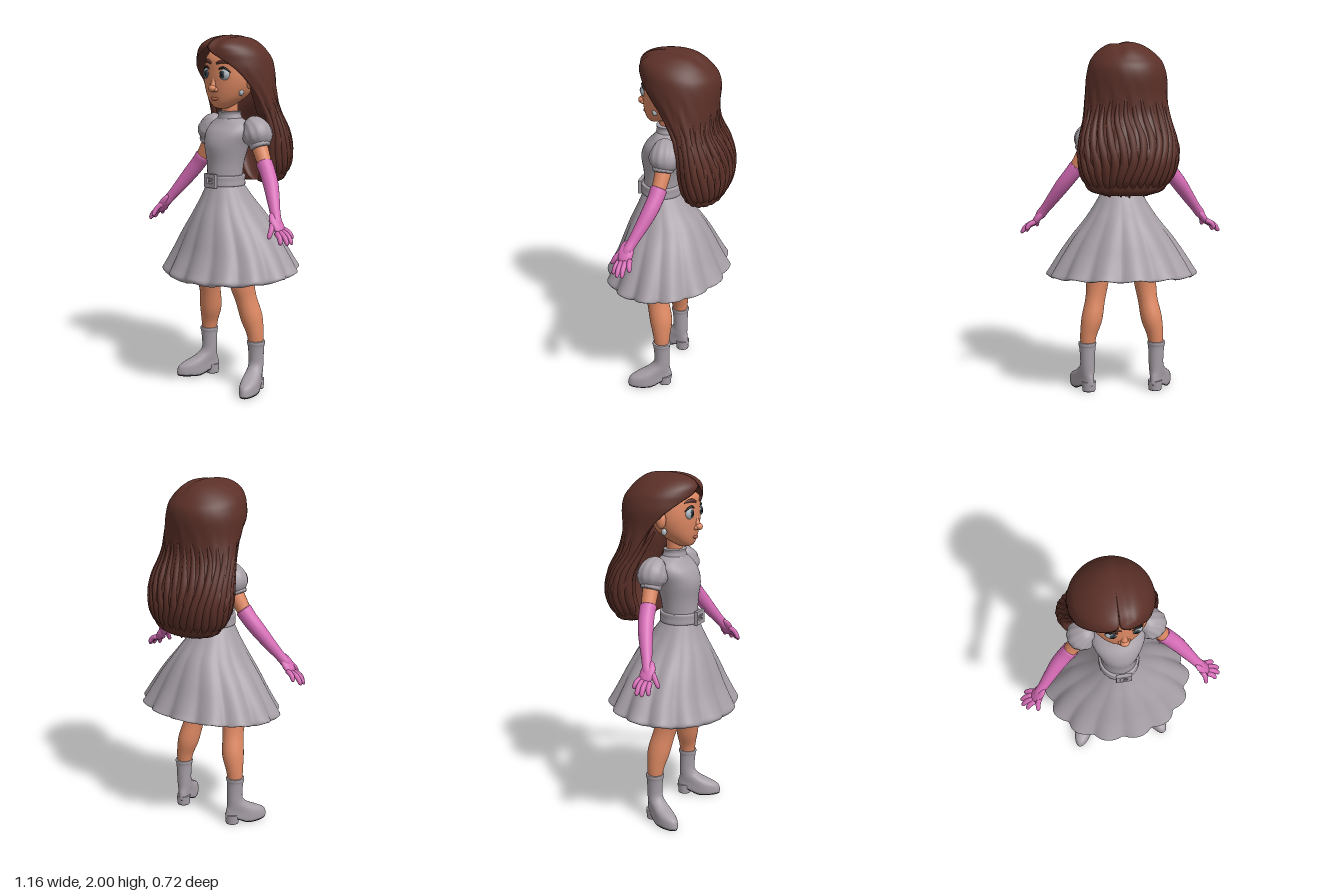
import * as THREE from 'three';

const mat = (name, color, side = THREE.FrontSide) => {
  const m = new THREE.MeshStandardMaterial({ color, side });
  m.name = name;
  return m;
};
const V = (x, y, z) => new THREE.Vector3(x, y, z);

// Catmull-Rom sampling of rows of numbers, t in 0..1
function sample(rows, t) {
  const f = t * (rows.length - 1), i = Math.min(Math.floor(f), rows.length - 2), u = f - i;
  const at = k => rows[Math.max(0, Math.min(rows.length - 1, k))];
  return rows[0].map((_, c) => {
    const [a, b, d, e] = [at(i - 1)[c], at(i)[c], at(i + 1)[c], at(i + 2)[c]];
    return b + 0.5 * u * (d - a + u * (2 * a - 5 * b + 4 * d - e + u * (3 * (b - d) + e - a)));
  });
}

// Closed rings of points joined into a smooth surface
function skin(rings, cap = true) {
  if (cap) {
    const mid = r => { const c = r.reduce((s, p) => s.add(p), V(0, 0, 0)).divideScalar(r.length); return r.map(() => c); };
    rings = [mid(rings[0]), ...rings, mid(rings[rings.length - 1])];
  }
  const n = rings[0].length, idx = [];
  for (let i = 0; i < rings.length - 1; i++) for (let j = 0; j < n; j++) {
    const a = i * n + j, b = i * n + (j + 1) % n;
    idx.push(a, b, b + n, a, b + n, a + n);
  }
  const g = new THREE.BufferGeometry().setFromPoints(rings.flat());
  g.setIndex(idx);
  g.computeVertexNormals();
  return g;
}

// Horizontal ellipses, bottom to top: [y, cx, cz, rx, rz]
function loft(rows, n = 30, seg = 32, mod = p => p, cap = true) {
  return skin(Array.from({ length: n + 1 }, (_, i) => {
    const [y, cx, cz, rx, rz] = sample(rows, i / n);
    return Array.from({ length: seg }, (_, j) => {
      const a = j / seg * Math.PI * 2;
      return mod(V(cx + Math.sin(a) * rx, y, cz + Math.cos(a) * rz), a, i / n);
    });
  }), cap);
}

// Tube of changing radius through [x, y, z, r]; s mirrors it in x
function limb(pts, s = 1, n = 20, seg = 16, gather = () => 1) {
  const curve = new THREE.CatmullRomCurve3(pts.map(p => V(p[0] * s, p[1], p[2])));
  return skin(Array.from({ length: n + 1 }, (_, i) => {
    const t = i / n, c = curve.getPoint(t), T = curve.getTangent(t), r = sample(pts, t)[3];
    const N = V(0, 0, 1).addScaledVector(T, -T.z).normalize(), B = T.clone().cross(N);
    return Array.from({ length: seg }, (_, j) => {
      const a = j / seg * Math.PI * 2, q = r * gather(a, t);
      return c.clone().addScaledVector(N, Math.cos(a) * q).addScaledVector(B, Math.sin(a) * q);
    });
  }));
}

export function createModel() {
  const model = new THREE.Group();
  model.name = 'woman';
  const cloth = mat('grey cloth', 0xa69fa6, THREE.DoubleSide), skinM = mat('skin', 0xde8963);
  const hairM = mat('brown hair', 0x5b3028), pink = mat('pink glove', 0xd66cb6), black = mat('black', 0x1c1a1c);
  const white = mat('eye grey', 0xaeb8be), iris = mat('iris', 0x3a4b54), lipM = mat('lips', 0xb4624a);
  const add = (parent, name, geo, m) => {
    const mesh = new THREE.Mesh(geo, m);
    mesh.name = name;
    parent.add(mesh);
    return mesh;
  };
  const ball = (parent, name, m, p, r) => {
    const b = add(parent, name, new THREE.SphereGeometry(1, 24, 16), m);
    b.position.set(...p);
    b.scale.set(...r);
    return b;
  };

  // Dress: bodice, collar, belt and buckle
  add(model, 'bodice', loft([[1.15, 0, .05, .1, .1], [1.22, 0, .05, .1, .1], [1.3, 0, .045, .106, .107], [1.39, 0, .035, .125, .128],
    [1.46, 0, .015, .145, .125], [1.51, 0, .01, .125, .085], [1.54, 0, .012, .075, .062]]), cloth);
  add(model, 'collar', loft([[1.52, 0, .012, .073, .064], [1.535, 0, .012, .075, .066], [1.56, 0, .015, .068, .06], [1.575, 0, .015, .07, .062], [1.578, 0, .015, .06, .052]]), cloth);
  add(model, 'belt', loft([[1.165, 0, .05, .103, .103], [1.168, 0, .05, .114, .115], [1.195, 0, .05, .112, .115], [1.222, 0, .05, .112, .115], [1.225, 0, .05, .1, .1]], 16), cloth);
  const frame = new THREE.Shape([[-.04, -.036], [.04, -.036], [.04, .036], [-.04, .036]].map(p => new THREE.Vector2(...p)));
  frame.holes.push(new THREE.Path([[-.024, -.018], [-.024, .018], [.024, .018], [.024, -.018]].map(p => new THREE.Vector2(...p))));
  add(model, 'buckle', new THREE.ExtrudeGeometry(frame, { depth: .016, bevelSize: .003, bevelThickness: .003, bevelSegments: 2 }), cloth).position.set(.008, 1.197, .158);
  add(model, 'bucklePin', new THREE.BoxGeometry(.03, .01, .01), cloth).position.set(.02, 1.197, .172);

  // Pleated skirt whose hem dips at the front
  const pleat = (p, a, t) => {
    const w = 1 - t, k = 1 + .1 * w * (Math.abs(Math.sin(7 * a + .4)) - .62);
    p.x *= k;
    p.z = .02 + (p.z - .02) * k;
    p.y -= w * w * (.028 * Math.cos(a) + .008 * Math.cos(14 * a + .8));
    return p;
  };
  add(model, 'skirt', loft([[.672, 0, .01, .41, .338], [.685, 0, .01, .42, .345], [.72, 0, .008, .402, .328], [.8, 0, .008, .355, .29], [.9, 0, .012, .288, .25],
    [1, 0, .02, .21, .205], [1.09, 0, .035, .15, .15], [1.18, 0, .05, .1, .1]], 40, 168, pleat, false), cloth);

  for (const s of [1, -1]) {
    const side = s > 0 ? 'left' : 'right';
    // Gathered sleeve, arm and long glove
    add(model, side + 'PuffSleeve', limb([[.12, 1.51, -.01, .035], [.15, 1.5, -.015, .064], [.18, 1.465, -.022, .083], [.195, 1.425, -.022, .077], [.205, 1.395, -.02, .055]],
      s, 24, 48, (a, t) => 1 + .035 * Math.sin(12 * a) * Math.sin(Math.PI * t)), cloth);
    add(model, side + 'SleeveCuff', limb([[.2, 1.417, -.02, .05], [.203, 1.41, -.02, .058], [.211, 1.39, -.02, .058], [.214, 1.383, -.02, .05]], s), cloth);
    add(model, side + 'Arm', limb([[.17, 1.46, -.02, .046], [.21, 1.38, -.02, .045], [.262, 1.29, -.008, .039]], s), skinM);
    add(model, side + 'Glove', limb([[.251, 1.305, -.011, .041], [.254, 1.301, -.01, .046], [.285, 1.26, -.002, .044], [.335, 1.195, .02, .042], [.395, 1.11, .058, .034], [.435, 1.055, .085, .028], [.465, 1.015, .104, .027], [.495, .978, .112, .01]], s, 28, 20), pink);
    const palm = ball(model, side + 'Palm', pink, [.472 * s, 1.006, .109], [.021, .07, .042]);
    palm.rotation.z = .64 * s;
    [[.495, .978, .08, .548, .935, .066], [.507, .972, .1, .577, .912, .1], [.507, .968, .122, .575, .91, .13], [.5, .965, .14, .55, .912, .158], [.462, 1.01, .135, .488, .938, .188]].forEach((f, i) => {
      const [x, y, z, X, Y, Z] = f;
      add(model, side + (i < 4 ? 'Finger' + (i + 1) : 'Thumb'), limb([[x, y, z, .015], [(x + X) / 2 + .006, (y + Y) / 2 + .006, (z + Z) / 2, .0145], [X * .9 + x * .1, Y * .9 + y * .1, Z * .9 + z * .1, .011], [X, Y, Z, .004]], s, 10, 10), pink);
    });

    // Leg, deeper than wide at the thigh, with shorts under the skirt
    add(model, side + 'Leg', limb([[.11, .85, .04, .078], [.125, .74, .05, .078], [.138, .63, .05, .075], [.152, .53, .03, .064], [.173, .42, .006, .065], [.193, .33, -.003, .05], [.2, .24, -.005, .04]],
      s, 30, 24, (a, t) => 1 - .22 * (1 - t) * Math.sin(a) ** 2), skinM);
    add(model, side + 'Short', limb([[.06, 1.08, .045, .07], [.085, .98, .042, .1], [.115, .84, .044, .088], [.13, .688, .049, .082]], s, 20, 24, (a, t) => 1 - .12 * t * Math.sin(a) ** 2), hairM);

    // Ankle boot with a low heel, black underneath
    const boot = new THREE.Group();
    boot.name = side + 'Boot';
    boot.position.set(.2 * s, 0, -.005);
    boot.rotation.y = .42 * s;
    model.add(boot);
    const arch = p => {
      const h = THREE.MathUtils.smoothstep(.075 - p.z, 0, .09);
      p.y += .03 * h * Math.max(0, 1 - p.y / .1);
      if (p.y < .12) p.x *= 1 + .25 * THREE.MathUtils.smoothstep(p.z, 0, .12);
      return p;
    };
    add(boot, 'bootUpper', loft([[.006, 0, .07, .04, .128], [.02, 0, .07, .043, .131], [.055, 0, .066, .043, .124], [.08, 0, .048, .043, .102], [.11, 0, .02, .043, .068], [.15, 0, 0, .042, .047],
      [.2, 0, -.002, .043, .045], [.255, 0, 0, .047, .048], [.27, 0, 0, .051, .052], [.284, 0, 0, .051, .052], [.286, 0, 0, .044, .045]], 40, 32, arch), cloth);
    add(boot, 'sole', loft([[0, 0, .07, .039, .126], [.002, 0, .07, .04, .128], [.007, 0, .07, .04, .128]], 6, 32, arch), black);
    add(boot, 'heel', new THREE.CylinderGeometry(.041, .038, .052, 20), cloth).position.set(0, .03, -.018);
    add(boot, 'heelTip', new THREE.CylinderGeometry(.037, .037, .004, 20), black).position.set(0, .002, -.018);
  }

  // Head, turned and tilted a little; parts are placed relative to the neck pivot
  add(model, 'neck', limb([[0, 1.5, .01, .052], [0, 1.57, .013, .046], [0, 1.68, .02, .05]]), skinM);
  const pivot = new THREE.Group(), head = new THREE.Group();
  head.name = 'head';
  pivot.position.set(0, 1.6, 0);
  pivot.rotation.set(0, .06, -.025);
  head.position.y = -1.6;
  pivot.add(head);
  model.add(pivot);
  add(head, 'face', loft([[1.594, 0, .075, .02, .02], [1.604, 0, .075, .048, .045], [1.635, 0, .055, .09, .08], [1.68, 0, .03, .128, .114], [1.74, 0, .018, .152, .131],
    [1.8, 0, .01, .158, .139], [1.87, 0, 0, .15, .142], [1.92, 0, -.01, .115, .11], [1.95, 0, -.01, .04, .04]], 36, 40), skinM);
  add(head, 'noseBridge', limb([[0, 1.79, .128, .014], [0, 1.745, .139, .016], [0, 1.708, .152, .019]]), skinM);
  ball(head, 'noseTip', skinM, [0, 1.707, .157], [.024, .02, .021]);
  add(head, 'lips', limb([[-.034, 1.658, .125, .002], [-.018, 1.651, .137, .007], [0, 1.649, .142, .009], [.018, 1.651, .137, .007], [.034, 1.66, .125, .002]]), lipM);
  for (const s of [1, -1]) {
    ball(head, 'nostril', skinM, [.019 * s, 1.701, .147], [.013, .012, .014]);
    ball(head, 'eye', white, [.06 * s, 1.785, .123], [.037, .035, .025]);
    ball(head, 'iris', iris, [.06 * s, 1.785, .144], [.018, .021, .006]);
    ball(head, 'pupil', black, [.06 * s, 1.785, .149], [.009, .011, .004]);
    add(head, 'upperLash', limb([[.024, 1.79, .138, .003], [.04, 1.815, .141, .005], [.064, 1.823, .138, .006], [.088, 1.81, .126, .005], [.102, 1.793, .113, .002]], s, 16, 8), black);
    add(head, 'eyebrow', limb([[.02, 1.844, .142, .008], [.05, 1.854, .138, .01], [.08, 1.852, .125, .008], [.105, 1.838, .107, .002]], s, 16, 10), hairM);
    // The ear on the side with more hair sits mostly beneath it
    const ear = s > 0 ? .142 : .176;
    ball(head, 'ear', skinM, [ear * s, 1.755, .014], [.025, .046, .028]);
    ball(head, 'earring', white, [(ear - .018) * s, 1.69, s > 0 ? .056 : .024], [.015, .019, .015]);
  }

  // Hair: a shell open at the face, [y, cx, cz, rx, rz, half opening, inner scale]
  const rows = [[1.165, -.01, -.205, .13, .07, .85, .2], [1.19, -.01, -.2, .2, .105, .85, .3], [1.25, -.015, -.196, .235, .125, .95, .4], [1.32, -.022, -.195, .262, .143, 1.05, .45],
    [1.4, -.025, -.186, .277, .158, 1.1, .5], [1.5, -.022, -.16, .256, .15, 1.15, .55], [1.6, -.02, -.115, .238, .15, 1.3, .62], [1.7, -.018, -.08, .228, .184, 1.25, .7],
    [1.8, -.023, -.055, .224, .215, .98, .72], [1.86, -.022, -.045, .212, .215, .62, .73], [1.9, -.02, -.03, .195, .203, .25, .74], [1.94, -.016, -.015, .16, .184, .02, .7],
    [1.975, -.013, -.012, .11, .14, .01, .6], [1.993, -.01, -.02, .06, .08, .01, .5], [1.999, -.005, -.02, .01, .01, .01, .5]];
  const strand = (a, y) => 1 + .022 * THREE.MathUtils.smoothstep(1.9 - y, 0, .4) * (Math.sin(17 * a + 5 * Math.sin(y * 7)) + .6 * Math.sin(31 * a + y * 9));
  const half = 72, levels = 64;
  const shell = Array.from({ length: levels + 1 }, (_, i) => {
    const [y, cx, cz, rx, rz, open, inner] = sample(rows, i / levels), o = Math.max(open, .004);
    const left = o * (y > 1.55 ? .87 : 1);
    return Array.from({ length: half * 2 }, (_, j) => {
      const out = j < half, u = (out ? j : half * 2 - 1 - j) / (half - 1);
      const a = left + u * (Math.PI * 2 - o - left), k = out ? strand(a, y) : inner;
      const p = V(cx + Math.sin(a) * rx * k, y, cz + Math.cos(a) * rz * k);
      // Parting, sunk into the crown and the front
      if (y > 1.9) {
        const part = Math.exp(-(((p.x - .025) / .03) ** 2)) * Math.min(1, (y - 1.9) / .05);
        p.y -= .01 * part;
        if (p.z > .08) p.z -= .2 * (p.z - .08) * part;
      }
      return p;
    });
  });
  add(model, 'hair', skin(shell), hairM);

  // Wavy locks hanging over the shell
  const hairAt = (y, a) => {
    const i = Math.max(0, Math.min(rows.length - 2, rows.findIndex(r => r[0] > y) - 1)), A = rows[i], B = rows[i + 1];
    const [cx, cz, rx, rz] = [1, 2, 3, 4].map(c => THREE.MathUtils.lerp(A[c], B[c], (y - A[0]) / (B[0] - A[0])));
    return [cx + Math.sin(a) * rx * .95, y, cz + Math.cos(a) * rz * .95];
  };
  const count = 21;
  for (let k = 0; k < count; k++) {
    const a = 1.15 + k / (count - 1) * (Math.PI * 2 - 2.3), end = 1.178 + .024 * Math.sin(k * 2.7);
    const path = [[1.7, .006], [1.58, .015], [1.46, .023], [1.35, .026], [1.25, .023], [end, .004]];
    add(model, 'hairLock', limb(path.map(([y, r], i) => [...hairAt(y, a + .09 * Math.sin(i * 1.5 + k * .4)), r]), 1, 24, 10), hairM);
  }
  return model;
}
